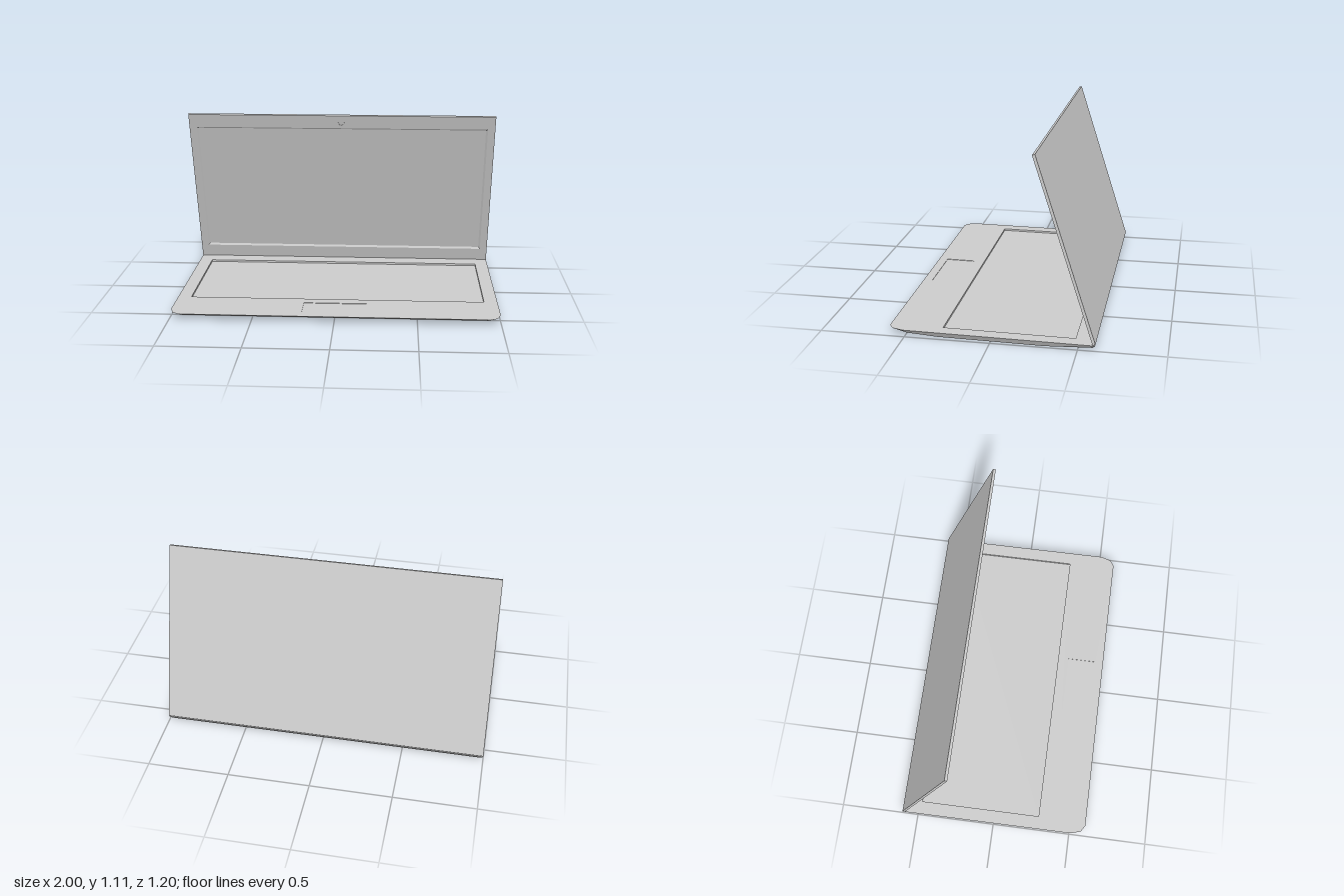
import * as THREE from 'three';

const material = new THREE.MeshStandardMaterial({ color: 0xcccccc, flatShading: true });

function addMesh(group, name, geometry) {
  const mesh = new THREE.Mesh(geometry, material);
  mesh.name = name;
  group.add(mesh);
}

// Geometry from quads whose corners run counter-clockwise seen from outside
function quadGeometry(quads) {
  const points = quads.flatMap(([a, b, c, d]) => [a, b, c, a, c, d]);
  const geometry = new THREE.BufferGeometry();
  geometry.setAttribute('position', new THREE.Float32BufferAttribute(points.flat(), 3));
  geometry.computeVertexNormals();
  return geometry;
}

// Wall joining a loop at depth w to a matching loop at depth w2
function wall(loop, w, loop2, w2) {
  return quadGeometry(loop.map(([x, y], i) => {
    const j = (i + 1) % loop.length;
    return [[x, y, w], [...loop[j], w], [...loop2[j], w2], [...loop2[i], w2]];
  }));
}

// Flat face in the xy plane at depth w, with optional holes
function face(loop, w, holes = []) {
  const toVectors = (l) => l.map(([x, y]) => new THREE.Vector2(x, y));
  const shape = new THREE.Shape(toVectors(loop));
  holes.forEach((h) => shape.holes.push(new THREE.Path(toVectors(h))));
  return new THREE.ShapeGeometry(shape).translate(0, 0, w);
}

const rect = (x, y0, y1) => [[-x, y0], [x, y0], [x, y1], [-x, y1]];

// Front surface with sunken areas, each with its own walls and floor
function addRecessedFace(group, name, outline, w, recesses) {
  addMesh(group, name, face(outline, w, recesses.map((r) => r.loop)));
  for (const { name: part, loop, floor = loop, depth } of recesses) {
    addMesh(group, part + 'Rim', wall(loop, w, floor, w - depth));
    addMesh(group, part, face(floor, w - depth));
  }
}

function createBase() {
  const base = new THREE.Group();
  base.name = 'base';
  const deckY = (z) => 0.037 + 0.008 * z;

  // Stations from front to back: top x, top z, bottom x, bottom z, bottom y
  const stations = [
    [0.94, 0.6, 0.92, 0.57, 0.025],
    [0.98, 0.575, 0.96, 0.545, 0.023],
    [1, 0.51, 0.98, 0.49, 0.019],
    [1, 0.31, 0.98, 0.31, 0.007],
    [1, -0.31, 0.98, -0.31, 0],
    [1, -0.598, 0.98, -0.585, 0.012],
  ];
  const sections = stations.map(([xt, zt, xb, zb, yb]) => [
    [-xt, deckY(zt), zt], [-xb, yb, zb], [xb, yb, zb], [xt, deckY(zt), zt],
  ]);
  const last = sections[sections.length - 1];
  const quads = [sections[0], [...last].reverse()];
  for (let i = 0; i < sections.length - 1; i++) {
    const a = sections[i], b = sections[i + 1];
    for (let j = 0; j < 3; j++) quads.push([a[j], b[j], b[j + 1], a[j + 1]]);
  }
  addMesh(base, 'bottomShell', quadGeometry(quads));

  // Gently sloping deck with keyboard well and touchpad
  const deck = new THREE.Group();
  deck.name = 'deck';
  const right = stations.map(([x, z]) => [x, -z]);
  const outline = [...right, ...right.map(([x, y]) => [-x, y]).reverse()];
  addRecessedFace(deck, 'deckSurface', outline, 0, [
    { name: 'keyboardWell', loop: rect(0.917, -0.29, 0.48), depth: 0.012 },
    { name: 'touchpad', loop: rect(0.2, -0.545, -0.36), depth: 0.003 },
  ]);
  deck.rotation.x = -Math.PI / 2 - 0.008;
  deck.position.y = 0.037;
  base.add(deck);
  return base;
}

function createLid() {
  const lid = new THREE.Group();
  lid.name = 'lid';
  const thickness = 0.017;
  const outline = rect(1, 0, 1.126);

  // Small round camera dimple above the screen
  const camera = Array.from({ length: 12 }, (_, i) => {
    const a = (i / 12) * Math.PI * 2;
    return [0.02 * Math.cos(a), 1.077 + 0.02 * Math.sin(a)];
  });
  addRecessedFace(lid, 'bezel', outline, thickness, [
    { name: 'screen', loop: rect(0.953, 0.0895, 1.035), floor: rect(0.941, 0.101, 1.024), depth: 0.008 },
    { name: 'camera', loop: camera, depth: 0.003 },
  ]);
  addMesh(lid, 'lidEdge', wall(outline, 0, outline, thickness));
  addMesh(lid, 'lidBack', face(outline, 0).rotateY(Math.PI));

  // Hinged open, leaning forward over the deck
  lid.position.set(0, 0.04, -0.6);
  lid.rotation.x = THREE.MathUtils.degToRad(17.8);
  return lid;
}

export function createModel() {
  const model = new THREE.Group();
  model.name = 'laptop';
  model.add(createBase(), createLid());
  return model;
}
